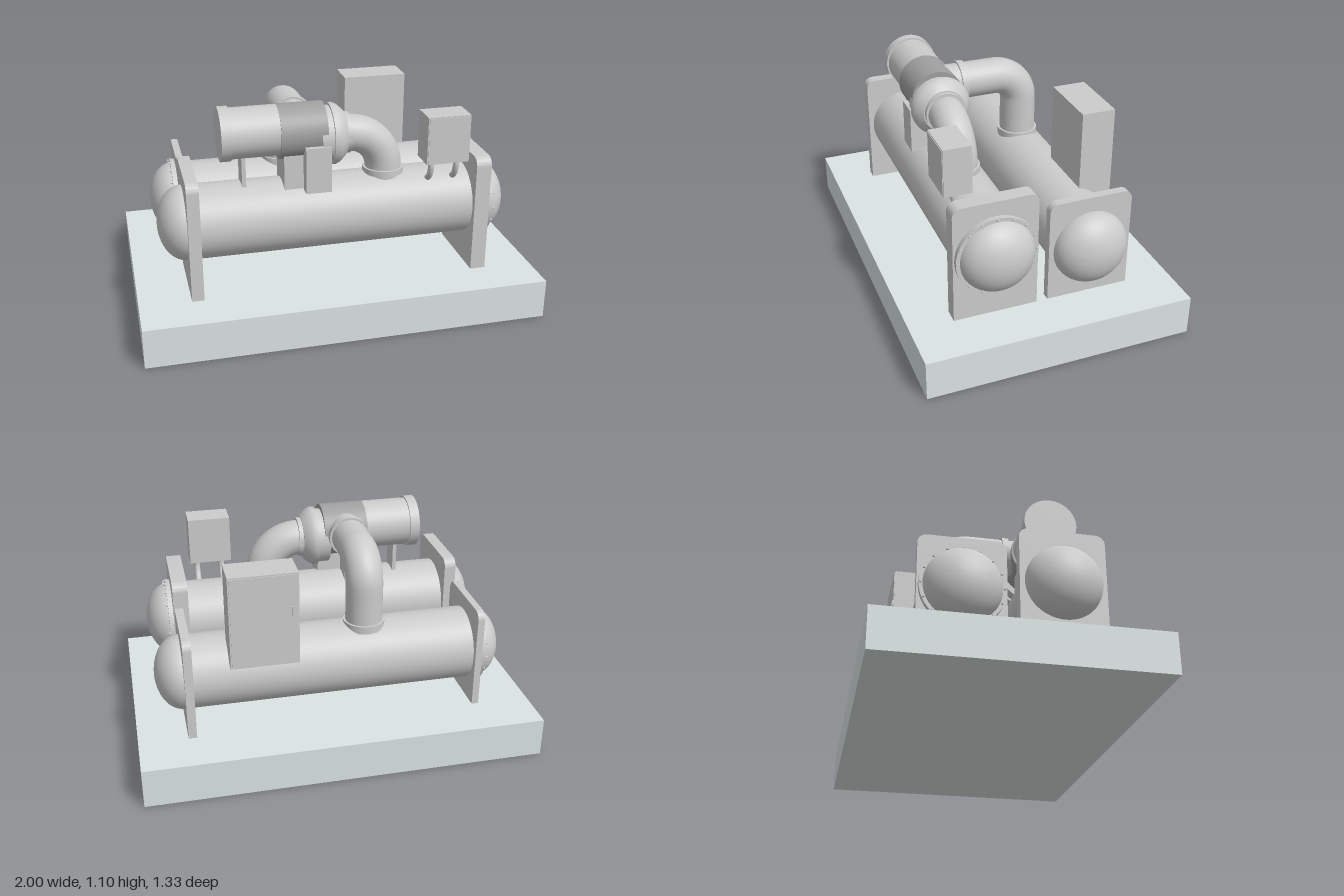
import * as THREE from 'three';
import { toCreasedNormals } from 'three/addons/utils/BufferGeometryUtils.js';

const grey = new THREE.MeshStandardMaterial({ color: 0xcccccc });
const darkGrey = new THREE.MeshStandardMaterial({ color: 0xa0a0a0 });
const concrete = new THREE.MeshStandardMaterial({ color: 0xdbe4e3 });

function add(group, name, geometry, material = grey) {
  const mesh = new THREE.Mesh(geometry, material);
  mesh.name = name;
  group.add(mesh);
  return mesh;
}

// Box given by its limits on each axis
function box(group, name, [x0, x1], [y0, y1], [z0, z1], material) {
  const mesh = add(group, name, new THREE.BoxGeometry(x1 - x0, y1 - y0, z1 - z0), material);
  mesh.position.set((x0 + x1) / 2, (y0 + y1) / 2, (z0 + z1) / 2);
  return mesh;
}

// Solid of revolution about an x-directed axis; profile is [x, radius] pairs
function turned(group, name, profile, y, z, material) {
  const points = profile.map(([x, r]) => new THREE.Vector2(r, x));
  const geometry = new THREE.LatheGeometry(points, 64);
  geometry.rotateZ(-Math.PI / 2);
  const mesh = add(group, name, toCreasedNormals(geometry, 0.6), material);
  mesh.position.set(0, y, z);
  return mesh;
}

// Short disc around a pipe, centred on a point
function flange(group, name, radius, thickness, position, axis = 'y') {
  const mesh = add(group, name, new THREE.CylinderGeometry(radius, radius, thickness, 48));
  if (axis === 'z') mesh.rotation.x = Math.PI / 2;
  if (axis === 'x') mesh.rotation.z = Math.PI / 2;
  mesh.position.set(...position);
  return mesh;
}

// Pipe with two straight runs joined by a quarter bend
function bentPipe(group, name, start, corner, end, bend, radius) {
  const [a, b, c] = [start, corner, end].map((p) => new THREE.Vector3(...p));
  const u = a.clone().sub(b).normalize();
  const v = c.clone().sub(b).normalize();
  const centre = b.clone().addScaledVector(u, bend).addScaledVector(v, bend);
  const points = [a];
  for (let i = 0; i <= 16; i++) {
    const t = (i / 16) * Math.PI / 2;
    points.push(centre.clone()
      .addScaledVector(v, -bend * Math.cos(t))
      .addScaledVector(u, -bend * Math.sin(t)));
  }
  points.push(c);
  const path = new THREE.CurvePath();
  for (let i = 1; i < points.length; i++) {
    if (points[i].distanceTo(points[i - 1]) > 1e-4) {
      path.add(new THREE.LineCurve3(points[i - 1], points[i]));
    }
  }
  return add(group, name, new THREE.TubeGeometry(path, 64, radius, 40));
}

// End plate standing on the base, with rounded top corners
function supportPlate(group, x0, x1, width, top, z) {
  const w = width / 2, r = 0.045, base = 0.2;
  const s = new THREE.Shape();
  s.moveTo(-w, base);
  s.lineTo(w, base);
  s.lineTo(w, top - r);
  s.absarc(w - r, top - r, r, 0, Math.PI / 2);
  s.lineTo(-w + r, top);
  s.absarc(-w + r, top - r, r, Math.PI / 2, Math.PI);
  s.lineTo(-w, base);
  const geometry = new THREE.ExtrudeGeometry(s, { depth: x1 - x0, bevelEnabled: false, curveSegments: 8 });
  geometry.rotateY(Math.PI / 2);
  const mesh = add(group, 'supportPlate', toCreasedNormals(geometry, 0.6));
  mesh.position.set(x0, 0, z);
}

// Shell with domed heads, two plates and a bolted ring at one end
function vessel(name, y, z, plates, plateTop, plateZ, ringX) {
  const g = new THREE.Group();
  g.name = name;
  const r = 0.185, profile = [];
  for (let i = 0; i <= 14; i++) {
    const t = (i / 14) * Math.PI / 2;
    profile.push([-0.745 - 0.13 * Math.cos(t), r * Math.sin(t)]);
  }
  for (let i = 14; i >= 0; i--) {
    const t = (i / 14) * Math.PI / 2;
    profile.push([0.76 + 0.13 * Math.cos(t), r * Math.sin(t)]);
  }
  turned(g, 'shell', profile, y, z);
  for (const [x0, x1] of plates) supportPlate(g, x0, x1, 0.418, plateTop, plateZ);
  flange(g, 'headFlange', 0.202, 0.025, [ringX, y, z], 'x');
  for (let i = 0; i < 16; i++) {
    const a = (i / 16) * Math.PI * 2;
    flange(g, 'headBolt', 0.006, 0.012,
      [ringX + Math.sign(ringX) * 0.016, y + 0.193 * Math.sin(a), z + 0.193 * Math.cos(a)], 'x');
  }
  return g;
}

export function createModel() {
  const model = new THREE.Group();
  model.name = 'chiller';

  box(model, 'basePad', [-1, 1], [0, 0.2], [-0.667, 0.667], concrete);

  // Two horizontal pressure vessels
  model.add(vessel('frontVessel', 0.527, 0.243, [[-0.745, -0.685], [0.68, 0.757]], 0.803, 0.243, 0.768));
  model.add(vessel('rearVessel', 0.46, -0.231, [[-0.735, -0.7], [0.715, 0.757]], 0.72, -0.231, -0.747));

  // Compressor: motor, end cap, sleeve and volute
  const compressor = new THREE.Group();
  compressor.name = 'compressor';
  model.add(compressor);
  const z = 0.243;
  turned(compressor, 'motor', [
    [-0.56, 0], [-0.56, 0.133], [-0.51, 0.133], [-0.51, 0.124], [-0.27, 0.124], [-0.27, 0],
  ], 0.966, z);
  turned(compressor, 'motorSleeve', [
    [-0.277, 0], [-0.277, 0.134], [-0.05, 0.134], [-0.05, 0],
  ], 0.957, z, darkGrey);
  turned(compressor, 'volute', [
    [-0.08, 0], [-0.08, 0.14], [-0.02, 0.14], [-0.02, 0.152], [0, 0.152], [0.02, 0.143],
    [0.04, 0.125], [0.055, 0.108], [0.055, 0.102], [0.077, 0.102], [0.077, 0],
  ], 0.925, z);
  box(compressor, 'terminalBox', [-0.165, -0.04], [0.68, 0.91], [0.26, 0.393]);
  box(compressor, 'saddle', [-0.26, -0.165], [0.68, 0.86], [0.15, 0.335]);
  box(compressor, 'motorStand', [-0.46, -0.44], [0.69, 0.86], [0.19, 0.295]);

  // Discharge elbow down to the front vessel
  bentPipe(model, 'dischargeElbow', [0.05, 0.922, z], [0.26, 0.922, z], [0.26, 0.68, z], 0.185, 0.091);
  flange(model, 'dischargeFlange', 0.102, 0.03, [0.26, 0.72, z]);

  // Suction pipe from the rear vessel across to the compressor
  bentPipe(model, 'suctionPipe', [-0.168, 0.6, -0.238], [-0.168, 0.972, -0.238], [-0.168, 0.972, 0.2], 0.138, 0.093);
  flange(model, 'suctionBaseFlange', 0.104, 0.04, [-0.168, 0.637, -0.238]);
  flange(model, 'suctionSideFlange', 0.104, 0.034, [-0.168, 0.972, 0.083], 'z');

  // Small control panel on curved legs
  const panel = new THREE.Group();
  panel.name = 'controlPanel';
  model.add(panel);
  box(panel, 'panelBox', [0.42, 0.635], [0.795, 1.035], [0.31, 0.447]);
  box(panel, 'panelDoor', [0.426, 0.629], [0.801, 1.029], [0.445, 0.45]);
  for (const x of [0.465, 0.595]) {
    const curve = new THREE.CatmullRomCurve3([
      [x, 0.8, 0.385], [x, 0.75, 0.385], [x, 0.705, 0.365], [x, 0.67, 0.32],
    ].map((p) => new THREE.Vector3(...p)));
    add(panel, 'panelLeg', new THREE.TubeGeometry(curve, 16, 0.015, 12));
  }

  // Tall electrical cabinet with door and handle at the back
  const cabinet = new THREE.Group();
  cabinet.name = 'electricalCabinet';
  model.add(cabinet);
  box(cabinet, 'cabinetBody', [0.2, 0.535], [0.56, 1.035], [-0.442, -0.275]);
  box(cabinet, 'cabinetDoor', [0.207, 0.528], [0.567, 1.028], [-0.446, -0.44]);
  box(cabinet, 'doorHandle', [0.222, 0.236], [0.82, 0.865], [-0.452, -0.44]);

  return model;
}
